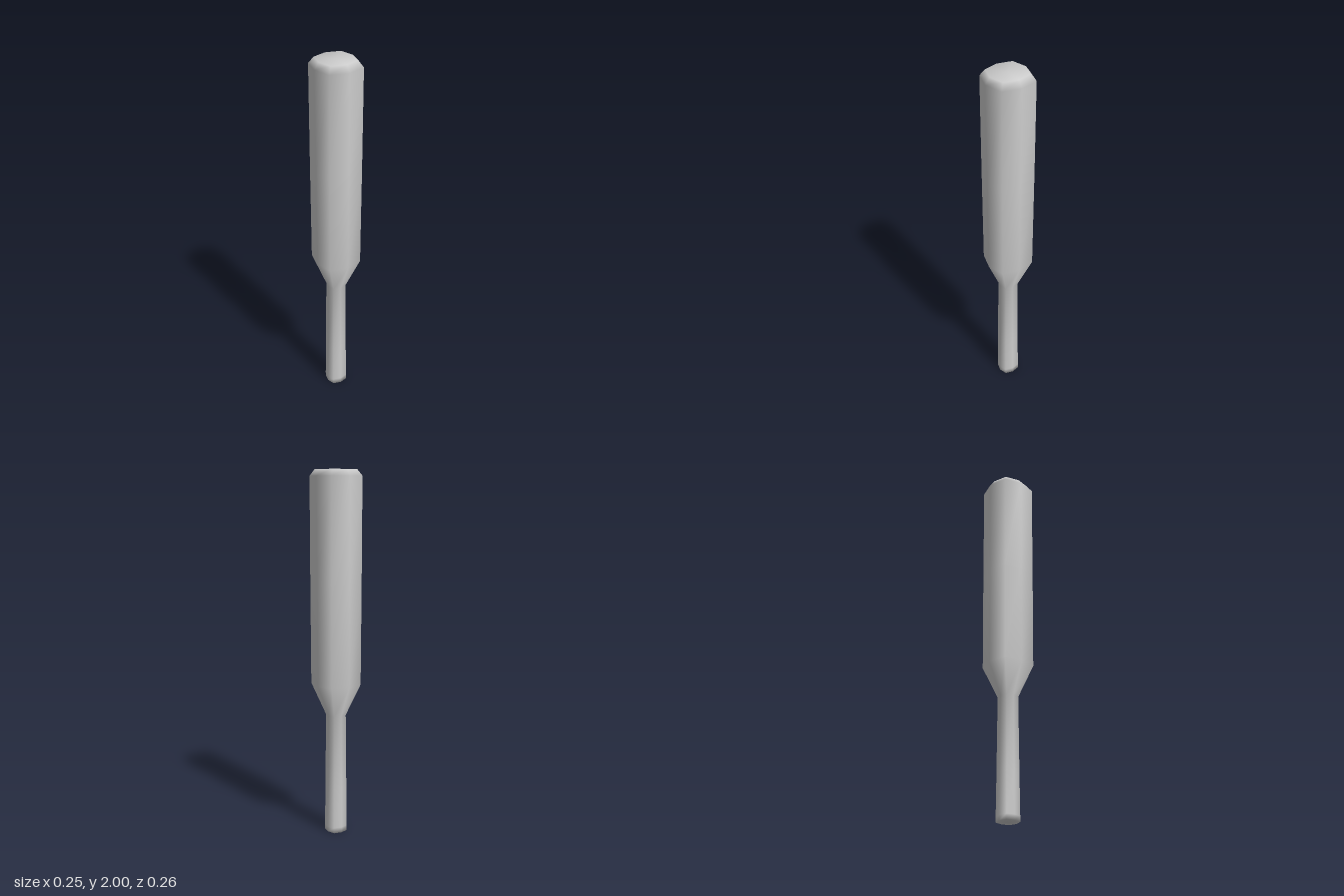
import * as THREE from 'three';

// Cross-sections from bottom to top: [y, half width x, half depth z, diagonal corner]
const sections = [
  [0, 0.055, 0.056, 0.044],
  [0.03, 0.055, 0.056, 0.044],
  [0.25, 0.052, 0.054, 0.042],
  [0.67, 0.048, 0.05, 0.039],
  [0.845, 0.118, 0.125, 0.097],
  [1.4, 0.121, 0.127, 0.099],
  [1.965, 0.124, 0.129, 0.1],
  [2, 0.1, 0.104, 0.08],
];

// Eight-sided skin over the sections, closed at both ends, smooth normals
function skin(rows) {
  const pos = [], index = [], n = 8;
  for (const [y, hx, hz, d] of rows) {
    pos.push(0, y, hz, d, y, d, hx, y, 0, d, y, -d, 0, y, -hz, -d, y, -d, -hx, y, 0, -d, y, d);
  }
  const bottom = rows.length * n, top = bottom + 1, last = (rows.length - 1) * n;
  pos.push(0, rows[0][0], 0, 0, rows[rows.length - 1][0], 0);
  for (let i = 0; i < n; i++) {
    const j = (i + 1) % n;
    for (let r = 0; r < last; r += n) {
      index.push(r + i, r + j, r + n + j, r + i, r + n + j, r + n + i);
    }
    index.push(bottom, j, i, top, last + i, last + j);
  }
  const geometry = new THREE.BufferGeometry();
  geometry.setAttribute('position', new THREE.Float32BufferAttribute(pos, 3));
  geometry.setIndex(index);
  geometry.computeVertexNormals();
  return geometry;
}

export function createModel() {
  const group = new THREE.Group();
  group.name = 'club';
  // Slim grip, tapered shoulder and thick barrel in one continuous surface
  const body = new THREE.Mesh(skin(sections), new THREE.MeshStandardMaterial({ color: 0xcccccc }));
  body.name = 'gripAndBarrel';
  group.add(body);
  return group;
}
